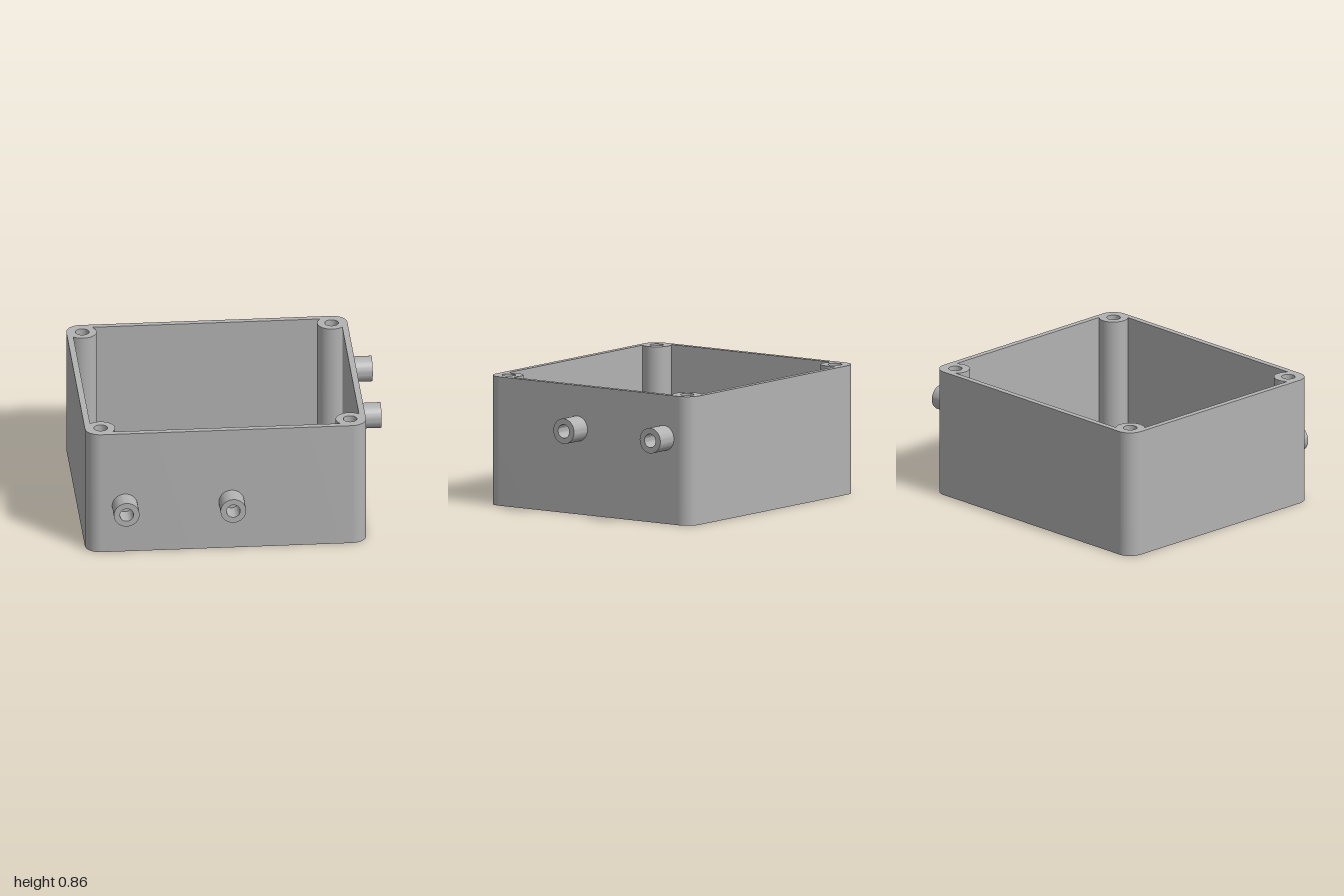
import * as THREE from 'three';
import { toCreasedNormals } from 'three/addons/utils/BufferGeometryUtils.js';

const HALF_X = 0.925, HALF_Z = 0.8285;   // outer half sizes of the box
const HEIGHT = 0.855, WALL = 0.04, CORNER = 0.1;
const POST_R = 0.095, HOLE_R = 0.045, POST_INSET = 0.064; // post centre to inner wall
const CORNERS = [[1, 1], [-1, 1], [-1, -1], [1, -1]];     // counter-clockwise

export function createModel() {
  const grey = new THREE.MeshStandardMaterial({ color: 0xb2b2b2 });
  grey.name = 'grey plastic';

  const model = new THREE.Group();
  model.name = 'enclosure';

  // Extrudes a shape along +z with smooth curves and sharp edges
  const extrude = (shape, depth) => toCreasedNormals(
    new THREE.ExtrudeGeometry(shape, { depth, bevelEnabled: false, curveSegments: 32 }), 0.6);

  const add = (name, geometry, parent) => {
    const mesh = new THREE.Mesh(geometry, grey);
    mesh.name = name;
    parent.add(mesh);
    return mesh;
  };

  const circle = (x, y, r) => new THREE.Path().absarc(x, y, r, 0, Math.PI * 2, true);

  const ringShape = (outer, inner) => {
    const s = new THREE.Shape().absarc(0, 0, outer, 0, Math.PI * 2, false);
    s.holes.push(circle(0, 0, inner));
    return s;
  };

  const outline = () => {
    const s = new THREE.Shape();
    CORNERS.forEach(([sx, sy], k) => s.absarc(
      sx * (HALF_X - CORNER), sy * (HALF_Z - CORNER), CORNER,
      k * Math.PI / 2, (k + 1) * Math.PI / 2, false));
    s.closePath();
    return s;
  };

  // Box, built around its own centre
  const box = new THREE.Group();
  box.name = 'box';
  box.position.set(-0.075, 0, -0.0715);
  model.add(box);

  add('floor', extrude(outline(), WALL).rotateX(-Math.PI / 2), box);

  // Walls with the corner screw posts bulging into the cavity
  const walls = outline();
  const cavity = new THREE.Path();
  const spread = Math.acos(POST_INSET / POST_R);
  CORNERS.forEach(([sx, sy], k) => {
    const px = sx * (HALF_X - WALL - POST_INSET), py = sy * (HALF_Z - WALL - POST_INSET);
    cavity.absarc(px, py, POST_R,
      k * Math.PI / 2 - spread, (k + 1) * Math.PI / 2 + spread, true);
    walls.holes.push(circle(px, py, HOLE_R));
  });
  cavity.closePath();
  walls.holes.push(cavity);
  add('wallsAndPosts', extrude(walls, HEIGHT - WALL).rotateX(-Math.PI / 2), box)
    .position.y = WALL;

  // Low ring on the floor
  add('floorRing', extrude(ringShape(0.2, 0.178), 0.02).rotateX(-Math.PI / 2), model)
    .position.set(0.51, WALL, 0.415);

  // Pipe stubs on the front and on the left side
  const stub = ringShape(0.084, 0.045);
  const front = HALF_Z - 0.0715, side = HALF_X - 0.075;
  for (const x of [-0.745, -0.043]) {
    add('frontPipe', extrude(stub, 0.9 - front), model).position.set(x, 0.333, front);
  }
  for (const z of [0.022, -0.68]) {
    add('sidePipe', extrude(stub, 1 - side).rotateY(Math.PI / 2), model)
      .position.set(side, 0.568, z);
  }

  return model;
}
